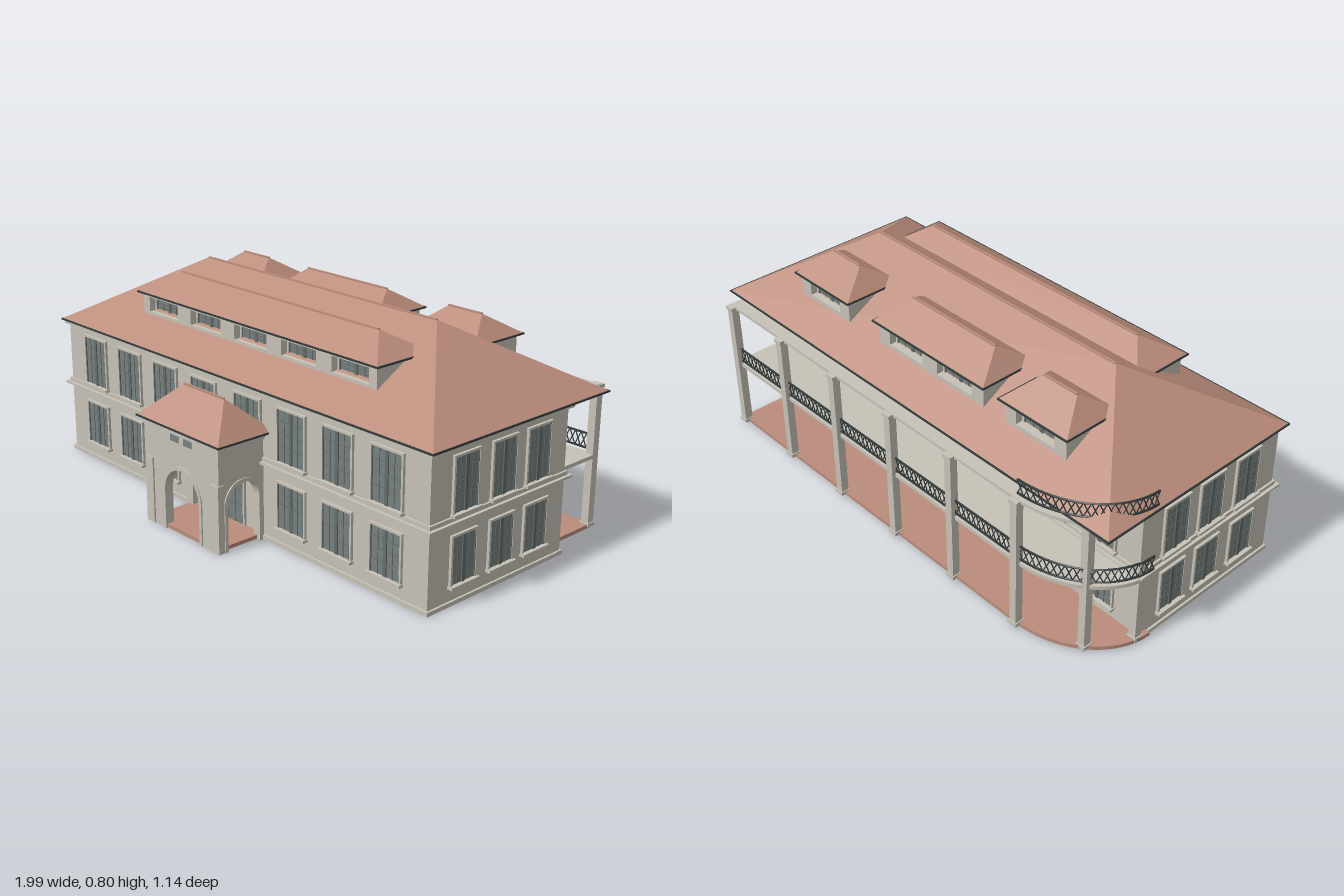
import * as THREE from 'three';
import { mergeGeometries } from 'three/addons/utils/BufferGeometryUtils.js';

const material = (name, color) => Object.assign(new THREE.MeshStandardMaterial({ color }), { name });

export function createModel() {
  const stone = material('stone', 0xc6c2b7);
  const tile = material('terracotta', 0xbb8c7b);
  const glass = material('glass', 0x76817e);
  const sash = material('sash', 0x646d69);
  const iron = material('iron', 0x343c3c);
  const house = new THREE.Group();
  house.name = 'house';

  const add = (name, geometry, mat, parent = house) => {
    const mesh = new THREE.Mesh(geometry, mat);
    mesh.name = name;
    parent.add(mesh);
    return mesh;
  };
  // Box given by its limits on each axis
  const block = (x0, x1, y0, y1, z0, z1) =>
    new THREE.BoxGeometry(x1 - x0, y1 - y0, z1 - z0).translate((x0 + x1) / 2, (y0 + y1) / 2, (z0 + z1) / 2);
  const box = (name, mat, limits, parent) => add(name, block(...limits), mat, parent);

  // Four-sided hip roof with a ridge along x and a thin dark eave edge
  function hipRoof(name, x0, x1, z0, z1, y0, y1, rx0, rx1) {
    const rz = (z0 + z1) / 2;
    const A = [x0, y0, z1], B = [x1, y0, z1], C = [x1, y0, z0], D = [x0, y0, z0];
    const R = [rx0, y1, rz], S = [rx1, y1, rz];
    const faces = [A, B, S, A, S, R, B, C, S, C, D, R, C, R, S, D, A, R, A, D, C, A, C, B];
    const geometry = new THREE.BufferGeometry();
    geometry.setAttribute('position', new THREE.Float32BufferAttribute(faces.flat(), 3));
    geometry.computeVertexNormals();
    add(name, geometry, tile);
    const e = 0.003, t = y0 - 0.005, u = y0 + 0.001;
    add(name + 'Eave', mergeGeometries([
      block(x0 - e, x1 + e, t, u, z1 - e, z1 + e), block(x0 - e, x1 + e, t, u, z0 - e, z0 + e),
      block(x0 - e, x0 + e, t, u, z0, z1), block(x1 - e, x1 + e, t, u, z0, z1),
    ]), iron);
    box(name + 'RidgeCap', tile, [rx0, rx1, y1 - 0.006, y1 + 0.003, rz - 0.004, rz + 0.004]);
  }

  // Sash window standing on y = 0 and facing +z
  function windowUnit(w, h, sill = true) {
    const g = new THREE.Group(), a = w / 2;
    g.name = 'window';
    box('glass', glass, [-a, a, 0, h, 0, 0.004], g);
    const bars = [block(-0.007, 0.007, 0, h, 0, 0.008)];
    for (const s of [-1, 1]) {
      bars.push(block(s * a - 0.003, s * a + 0.003, 0, h, 0, 0.008));
      bars.push(block(s * a / 2 - 0.001, s * a / 2 + 0.001, 0, h, 0, 0.006));
    }
    for (const f of [0.3, 0.55, 0.78]) bars.push(block(-a, a, f * h - 0.0012, f * h + 0.0012, 0, 0.006));
    add('sashBars', mergeGeometries(bars), sash, g);
    const b = a + 0.008;
    add('surround', mergeGeometries([
      block(-b, -a, 0, h, 0, 0.01), block(a, b, 0, h, 0, 0.01), block(-b, b, h, h + 0.008, 0, 0.01),
    ]), stone, g);
    if (sill) box('sill', stone, [-b - 0.004, b + 0.004, -0.01, 0, 0, 0.02], g);
    return g;
  }
  function placeWindow(x, y, z, turn, w, h, sill) {
    const g = windowUnit(w, h, sill);
    g.position.set(x, y, z);
    g.rotation.y = turn;
    house.add(g);
  }

  // Main block with plinth, belt course and cornice
  const X = 0.97, F = 0.35, B = -0.31;
  box('walls', stone, [-X, X, 0, 0.549, B, F]);
  for (const [name, y0, y1, d] of [
    ['plinth', 0, 0.015, 0.008], ['beltCourse', 0.283, 0.292, 0.02], ['beltLedge', 0.292, 0.306, 0.008],
    ['cornice', 0.532, 0.546, 0.015],
  ]) box(name, stone, [-X - d, X + d, y0, y1, B - d, F + d]);

  // Windows on all four walls, two storeys
  for (const [y, h] of [[0.07, 0.165], [0.316, 0.187]]) {
    for (const s of [-1, 1]) {
      for (const x of [0.12, 0.345, 0.567, 0.79]) {
        if (y > 0.2 || x > 0.2) placeWindow(s * x, y, F, 0, 0.13, h);
        placeWindow(s * x, y, B, Math.PI, 0.13, h);
      }
      for (const z of [0.193, 0.012, -0.16]) placeWindow(s * X, y, z, s * Math.PI / 2, 0.108, h);
    }
  }
  placeWindow(0, 0.016, F, 0, 0.19, 0.235, false);

  hipRoof('mainRoof', -0.992, 0.992, -0.5, 0.37, 0.55, 0.797, -0.6, 0.6);

  // Dormers: recessed windows between stone piers
  function dormer(cx, half, zWall, zBack, count, ridgeHalf) {
    const s = Math.sign(zWall - zBack), inner = zWall - s * 0.035;
    const zSpan = (a, b) => [Math.min(a, b), Math.max(a, b)];
    const y0 = 0.615, y1 = 0.709, w = half - 0.015, pitch = 0.25;
    box('dormerWall', stone, [cx - w + 0.01, cx + w - 0.01, y0, y1, ...zSpan(inner, zBack)]);
    box('dormerLintel', stone, [cx - w, cx + w, 0.693, y1, ...zSpan(zWall, zBack)]);
    box('dormerSill', stone, [cx - w, cx + w, y0, 0.637, ...zSpan(zWall, zBack)]);
    const edges = [-w];
    for (let i = 0; i < count; i++) {
      const c = (i - (count - 1) / 2) * pitch;
      edges.push(c - 0.087, c + 0.087);
      placeWindow(cx + c, 0.637, inner, s > 0 ? 0 : Math.PI, 0.155, 0.052, false);
    }
    edges.push(w);
    for (let i = 0; i < edges.length; i += 2)
      box('dormerPier', stone, [cx + edges[i], cx + edges[i + 1], y0, y1, ...zSpan(zWall, zBack)]);
    const eave = zWall + s * 0.015;
    hipRoof('dormerRoof', cx - half, cx + half, ...zSpan(eave, eave - s * 0.25), 0.71, 0.785, cx - ridgeHalf, cx + ridgeHalf);
  }
  dormer(0, 0.638, 0.236, 0.05, 5, 0.52);
  dormer(-0.035, 0.285, -0.375, -0.19, 2, 0.21);
  for (const s of [-1, 1]) dormer(s * 0.548, 0.155, -0.375, -0.19, 1, 0.075);

  // Entrance porch with arched openings
  function archWall(name, half, height, r, spring) {
    const shape = new THREE.Shape();
    shape.moveTo(-half, 0).lineTo(-r, 0).lineTo(-r, spring);
    shape.absarc(0, spring, r, Math.PI, 0, true);
    shape.lineTo(r, 0).lineTo(half, 0).lineTo(half, height).lineTo(-half, height);
    const g = new THREE.Group();
    g.name = name;
    add('wall', new THREE.ExtrudeGeometry(shape, { depth: 0.03, bevelEnabled: false, curveSegments: 16 }), stone, g);
    const trim = new THREE.Shape(), o = r + 0.013;
    trim.moveTo(-o, 0).lineTo(-o, spring).absarc(0, spring, o, Math.PI, 0, true);
    trim.lineTo(o, 0).lineTo(r, 0).lineTo(r, spring).absarc(0, spring, r, 0, Math.PI, false);
    trim.lineTo(-r, 0);
    add('archTrim', new THREE.ExtrudeGeometry(trim, { depth: 0.005, bevelEnabled: false, curveSegments: 16 })
      .translate(0, 0, 0.03), stone, g);
    house.add(g);
    return g;
  }
  archWall('porchFront', 0.2, 0.4, 0.095, 0.15).position.z = 0.52;
  for (const s of [-1, 1]) {
    const side = archWall('porchSide', 0.093, 0.4, 0.07, 0.17);
    side.rotation.y = s * Math.PI / 2;
    side.position.set(s * 0.17, 0, 0.445);
    box('porchVent', glass, [s * 0.036 - 0.022, s * 0.036 + 0.022, 0.345, 0.37, 0.549, 0.553]);
    box('cornerPier', stone, [s * 0.183 - 0.021, s * 0.183 + 0.021, 0, 0.25, 0.53, 0.556]);
  }
  box('porchFloor', tile, [-0.19, 0.19, 0.002, 0.016, 0.35, 0.548]);
  box('porchCornice', stone, [-0.214, 0.214, 0.384, 0.399, 0.35, 0.563]);
  box('porchMoulding', stone, [-0.206, 0.206, 0.372, 0.384, 0.35, 0.555]);
  hipRoof('porchRoof', -0.226, 0.226, 0.322, 0.57, 0.4, 0.515, -0.11, 0.11);

  // Rear veranda: straight run with one rounded corner
  const curve = (t, inset = 0) => [-0.65 - (0.34 - inset) * Math.cos(t), -0.27 - (0.283 - inset) * Math.sin(t)];
  const right = 0.92;
  function verandaSlab(name, y, thick, mat, inset = 0) {
    const pts = [[right, B + 0.01], [right, -0.553 + inset]];
    for (let i = 16; i >= 0; i--) pts.push(curve(i / 16 * Math.PI / 2, inset));
    pts.push([-0.95, -0.27], [-0.95, B + 0.01]);
    const shape = new THREE.Shape(pts.map(([x, z]) => new THREE.Vector2(x, -z)));
    add(name, new THREE.ExtrudeGeometry(shape, { depth: thick, bevelEnabled: false })
      .rotateX(-Math.PI / 2).translate(0, y, 0), mat);
  }
  verandaSlab('terrace', 0.008, 0.014, tile);
  verandaSlab('balconyFloor', 0.272, 0.014, stone);
  verandaSlab('verandaCeiling', 0.532, 0.012, stone);

  // Columns with small bases and capitals
  const columns = [curve(0.8, 0.012), [-0.965, B - 0.005]];
  for (let i = 0; i < 6; i++) columns.push([0.905 - i * 0.311, -0.552]);
  for (const [x, z] of columns) {
    box('column', stone, [x - 0.015, x + 0.015, 0.012, 0.535, z - 0.015, z + 0.015]);
    for (const y of [0.012, 0.528])
      box('columnBlock', stone, [x - 0.019, x + 0.019, y, y + 0.014, z - 0.019, z + 0.019]);
  }

  // Lattice railings following a path on the floor plan
  function bar(a, b, r) {
    const d = new THREE.Vector3().subVectors(b, a);
    const g = new THREE.BoxGeometry(r, d.length(), r);
    g.applyQuaternion(new THREE.Quaternion().setFromUnitVectors(new THREE.Vector3(0, 1, 0), d.clone().normalize()));
    return g.translate((a.x + b.x) / 2, (a.y + b.y) / 2, (a.z + b.z) / 2);
  }
  function railing(name, path, y0, y1) {
    const at = (i, y) => new THREE.Vector3(path[i][0], y, path[i][1]);
    const parts = [];
    for (let i = 0; i + 1 < path.length; i++) {
      for (const y of [y0, y1]) parts.push(bar(at(i, y), at(i + 1, y), 0.006));
      parts.push(bar(at(i, y0), at(i + 1, y1), 0.003), bar(at(i, y1), at(i + 1, y0), 0.003));
    }
    add(name, mergeGeometries(parts), iron);
  }
  const corner = [], straight = [];
  for (let i = 0; i <= 20; i++) corner.push(curve(i / 20 * Math.PI / 2, 0.004));
  for (let i = 0; i <= 64; i++) straight.push([-0.65 + i / 64 * 1.555, -0.549]);
  railing('cornerRailing', corner, 0.3, 0.353);
  railing('balconyRailing', straight, 0.3, 0.353);
  railing('roofRailing', corner, 0.565, 0.618);

  return house;
}
